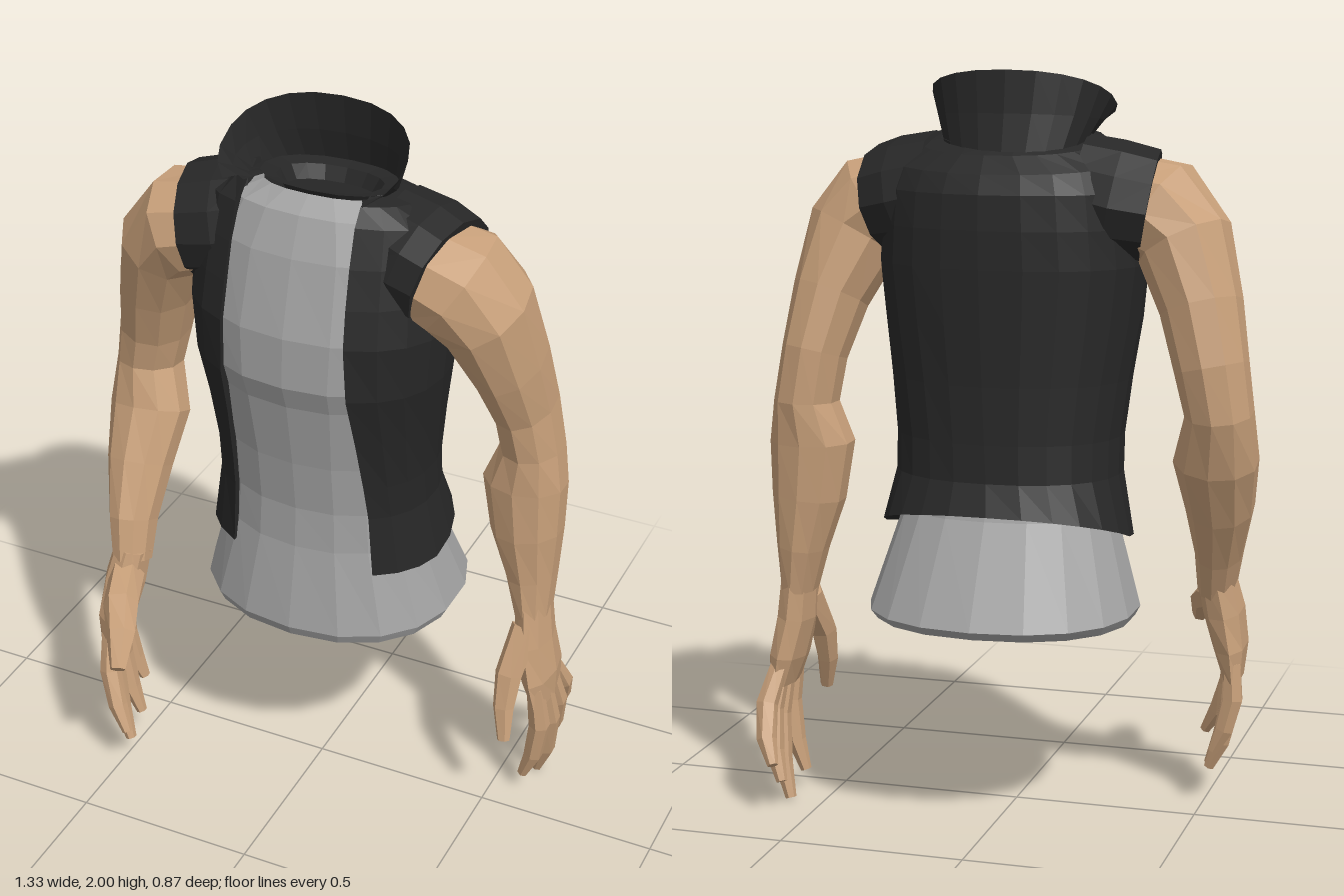
import * as THREE from 'three';

const mat = (name, color) => {
  const m = new THREE.MeshStandardMaterial({ color, side: THREE.DoubleSide });
  m.name = name;
  return m;
};
const V = (x, y, z) => new THREE.Vector3(x, y, z);

// Skin a list of point rings into a faceted surface
function loft(rings, { closed = true, capStart = false, capEnd = false } = {}) {
  const n = rings[0].length, pos = [], idx = [];
  rings.flat().forEach(p => pos.push(p.x, p.y, p.z));
  for (let i = 0; i < rings.length - 1; i++) {
    for (let j = 0; j < (closed ? n : n - 1); j++) {
      const k = (j + 1) % n;
      const a = i * n + j, b = i * n + k, c = a + n, d = b + n;
      idx.push(a, c, d, a, d, b);
    }
  }
  const cap = (r, end) => {
    const c = V(0, 0, 0);
    rings[r].forEach(p => c.addScaledVector(p, 1 / n));
    const o = pos.length / 3;
    pos.push(c.x, c.y, c.z);
    for (let j = 0; j < n; j++) {
      const a = r * n + j, b = r * n + (j + 1) % n;
      idx.push(o, end ? b : a, end ? a : b);
    }
  };
  if (capStart) cap(0, false);
  if (capEnd) cap(rings.length - 1, true);
  const g = new THREE.BufferGeometry();
  g.setAttribute('position', new THREE.Float32BufferAttribute(pos, 3));
  g.setIndex(idx);
  const flat = g.toNonIndexed();
  flat.computeVertexNormals();
  return flat;
}

// Squarish oval body ring: front height, back height, half width, front z, back z,
// and optionally how much of the front half stays level
const POW = 2 / 2.25;
function bodyRing([yF, yB, w, zf, zb, level = 0], seg, start = 0, end = start) {
  const pts = [], n = start ? seg + 1 : seg;
  for (let j = 0; j < n; j++) {
    const t = start + (j / seg) * (2 * Math.PI - start - end);
    const s = Math.sin(t), c = Math.cos(t);
    const cc = Math.sign(c) * Math.abs(c) ** POW;
    pts.push(V(
      w * Math.sign(s) * Math.abs(s) ** POW,
      yB + (yF - yB) * Math.min(1, (cc + 1) / (2 - level)),
      (zf + zb) / 2 + cc * (zf - zb) / 2
    ));
  }
  return pts;
}

// Tapered limb: stations [x, y, z, thickness, breadth]; breadth runs along ref
function limb(st, seg, ref = V(0, 0, 1)) {
  const p = st.map(s => V(s[0], s[1], s[2]));
  const rings = st.map((s, i) => {
    const t = p[Math.min(i + 1, p.length - 1)].clone().sub(p[Math.max(i - 1, 0)]).normalize();
    const w = ref.clone().addScaledVector(t, -ref.dot(t)).normalize();
    const u = w.clone().cross(t);
    return Array.from({ length: seg }, (_, j) => {
      const a = (j / seg) * Math.PI * 2;
      return p[i].clone().addScaledVector(w, s[4] * Math.cos(a)).addScaledVector(u, s[3] * Math.sin(a));
    });
  });
  return loft(rings, { capStart: true, capEnd: true });
}

export function createModel() {
  const root = new THREE.Group();
  root.name = 'clothedTorso';
  const grey = mat('shirtGrey', 0xa3a3a3);
  const black = mat('vestBlack', 0x272727);
  const skin = mat('skinTan', 0xc8a07a);
  const add = (parent, name, geo, m) => {
    const mesh = new THREE.Mesh(geo, m);
    mesh.name = name;
    parent.add(mesh);
    return mesh;
  };

  // Shirt, flaring at the hem and closed underneath
  const shirt = [
    [1.835, 1.785, 0.17, 0.08, -0.16],
    [1.80, 1.76, 0.25, 0.135, -0.18],
    [1.70, 1.70, 0.305, 0.18, -0.23],
    [1.50, 1.50, 0.325, 0.235, -0.26],
    [1.36, 1.36, 0.31, 0.24, -0.26],
    [1.29, 1.32, 0.30, 0.215, -0.26],
    [1.10, 1.10, 0.275, 0.182, -0.26],
    [0.95, 0.95, 0.275, 0.165, -0.27],
    [0.83, 0.85, 0.285, 0.17, -0.30],
    [0.59, 0.59, 0.36, 0.213, -0.435],
    [0.56, 0.565, 0.345, 0.20, -0.41],
    [0.545, 0.555, 0.27, 0.13, -0.33],
    [0.56, 0.57, 0.22, 0.08, -0.28]
  ];
  add(root, 'shirt', loft(shirt.map(r => bodyRing(r, 18)), { capEnd: true }), grey);

  // Open vest, with its front edges and hem folded inward
  const vest = [
    [1.85, 1.80, 0.18, 0.09, -0.185],
    [1.845, 1.785, 0.245, 0.125, -0.205],
    [1.80, 1.74, 0.32, 0.15, -0.245],
    [1.70, 1.69, 0.34, 0.187, -0.272],
    [1.60, 1.60, 0.35, 0.218, -0.282],
    [1.50, 1.50, 0.358, 0.242, -0.285],
    [1.35, 1.35, 0.342, 0.247, -0.285],
    [1.20, 1.20, 0.32, 0.213, -0.285],
    [1.05, 1.05, 0.303, 0.19, -0.29],
    [0.95, 0.95, 0.303, 0.178, -0.298],
    [0.775, 0.87, 0.335, 0.18, -0.335, 0.9],
    [0.785, 0.88, 0.30, 0.155, -0.30, 0.9]
  ];
  const vestRings = vest.map(r => {
    const w = r[2], drop = 1.85 - r[0];
    const edge = x => Math.asin((Math.min(x, w * 0.82) / w) ** (1 / POW));
    const ring = bodyRing(r, 20, edge(0.15 + 0.055 * drop ** 1.5), edge(0.18 + 0.015 * drop));
    const fold = p => V(p.x, p.y, p.z - 0.03);
    return [fold(ring[0]), ...ring, fold(ring[ring.length - 1])];
  });
  add(root, 'vest', loft(vestRings, { closed: false }), black);

  // Flared collar, high at the back
  const collar = [
    [1.84, 2.00, 0.245, 0.20, -0.155],
    [1.85, 1.89, 0.22, 0.15, -0.17],
    [1.845, 1.785, 0.19, 0.10, -0.195]
  ];
  const collarMesh = add(root, 'collar', loft(collar.map(r => bodyRing(r, 16, 0.85)), { closed: false }), black);
  collarMesh.position.x = -0.015;

  // Dark hollow inside the neck
  const lining = [
    [1.845, 1.81, 0.185, 0.08, -0.185],
    [1.838, 1.805, 0.14, 0.055, -0.15],
    [1.80, 1.77, 0.12, 0.035, -0.13]
  ];
  add(root, 'neckLining', loft(lining.map(r => bodyRing(r, 16)), { capEnd: true }), black);

  // Vest shoulders, reaching out to the armholes
  for (const [side, s, out] of [['left', 1, 0.342], ['right', -1, 0.365]]) {
    const shoulder = [
      [s * 0.17, 1.69, -0.045, 0.15, 0.16],
      [s * 0.27, 1.665, -0.03, 0.158, 0.178],
      [s * out, 1.648, -0.015, 0.15, 0.17]
    ];
    add(root, side + 'VestShoulder', limb(shoulder, 12), black);
  }

  // Arms hang in different poses, so each has its own path
  const arms = {
    left: {
      arm: [
        [0.31, 1.65, -0.01, 0.135, 0.155], [0.375, 1.632, -0.012, 0.148, 0.163],
        [0.44, 1.56, -0.03, 0.13, 0.152], [0.49, 1.40, -0.088, 0.10, 0.138],
        [0.52, 1.25, -0.138, 0.085, 0.118], [0.54, 1.12, -0.152, 0.085, 0.107],
        [0.527, 1.01, -0.147, 0.115, 0.102], [0.54, 0.86, -0.145, 0.10, 0.097],
        [0.56, 0.72, -0.145, 0.07, 0.087], [0.575, 0.60, -0.135, 0.048, 0.078]
      ],
      palm: [
        [0.573, 0.64, -0.137, 0.047, 0.078], [0.585, 0.52, -0.13, 0.05, 0.09],
        [0.608, 0.41, -0.135, 0.045, 0.102], [0.622, 0.33, -0.138, 0.028, 0.092]
      ],
      ref: V(0, 0, 1), bend: 0.028,
      fingers: [
        [[0.615, 0.39, -0.07], [0.585, 0.06, -0.09]],
        [[0.62, 0.39, -0.115], [0.592, 0.01, -0.19]],
        [[0.62, 0.39, -0.16], [0.59, 0.08, -0.26]],
        [[0.615, 0.39, -0.20], [0.585, 0.15, -0.335]]
      ],
      thumb: [
        [0.57, 0.57, -0.09, 0.045, 0.04], [0.553, 0.45, -0.02, 0.038, 0.038],
        [0.555, 0.36, 0.012, 0.03, 0.03], [0.57, 0.27, 0.04, 0.016, 0.018]
      ]
    },
    right: {
      arm: [
        [-0.31, 1.65, -0.01, 0.135, 0.15], [-0.385, 1.635, -0.01, 0.148, 0.158],
        [-0.46, 1.56, -0.03, 0.128, 0.147], [-0.515, 1.40, -0.07, 0.108, 0.13],
        [-0.55, 1.25, -0.10, 0.097, 0.115], [-0.572, 1.13, -0.10, 0.09, 0.105],
        [-0.557, 1.00, -0.06, 0.114, 0.10], [-0.555, 0.86, 0.015, 0.092, 0.095],
        [-0.54, 0.72, 0.09, 0.065, 0.085], [-0.527, 0.61, 0.13, 0.052, 0.07]
      ],
      palm: [
        [-0.527, 0.65, 0.12, 0.052, 0.07], [-0.545, 0.55, 0.14, 0.058, 0.085],
        [-0.56, 0.45, 0.16, 0.05, 0.105], [-0.568, 0.36, 0.163, 0.03, 0.10]
      ],
      ref: V(0.15, 0, 0.99), bend: -0.022,
      fingers: [
        [[-0.55, 0.41, 0.235], [-0.46, 0.145, 0.32]],
        [[-0.56, 0.40, 0.19], [-0.485, 0.07, 0.26]],
        [[-0.57, 0.40, 0.14], [-0.505, 0.09, 0.16]],
        [[-0.58, 0.41, 0.095], [-0.53, 0.16, 0.09]]
      ],
      thumb: [
        [-0.525, 0.58, 0.17, 0.055, 0.05], [-0.49, 0.555, 0.27, 0.048, 0.05],
        [-0.45, 0.515, 0.345, 0.036, 0.042], [-0.42, 0.45, 0.42, 0.02, 0.022]
      ]
    }
  };

  for (const [side, a] of Object.entries(arms)) {
    const g = new THREE.Group();
    g.name = side + 'Arm';
    add(g, side + 'BareArm', limb(a.arm, 10), skin);
    add(g, side + 'Palm', limb(a.palm, 8, a.ref), skin);
    add(g, side + 'Thumb', limb(a.thumb, 6, V(1, 0, 0)), skin);
    a.fingers.forEach(([b, t], i) => {
      const at = (k, r, out) => [...b.map((v, q) => v + (t[q] - v) * k + (q === 0 ? out : 0)), r, r];
      const f = [at(0, 0.024, 0), at(0.4, 0.03, a.bend), at(0.75, 0.027, a.bend * 0.8), at(1, 0.015, 0)];
      add(g, side + 'Finger' + (i + 1), limb(f, 6, a.ref), skin);
    });
    root.add(g);
  }
  return root;
}
